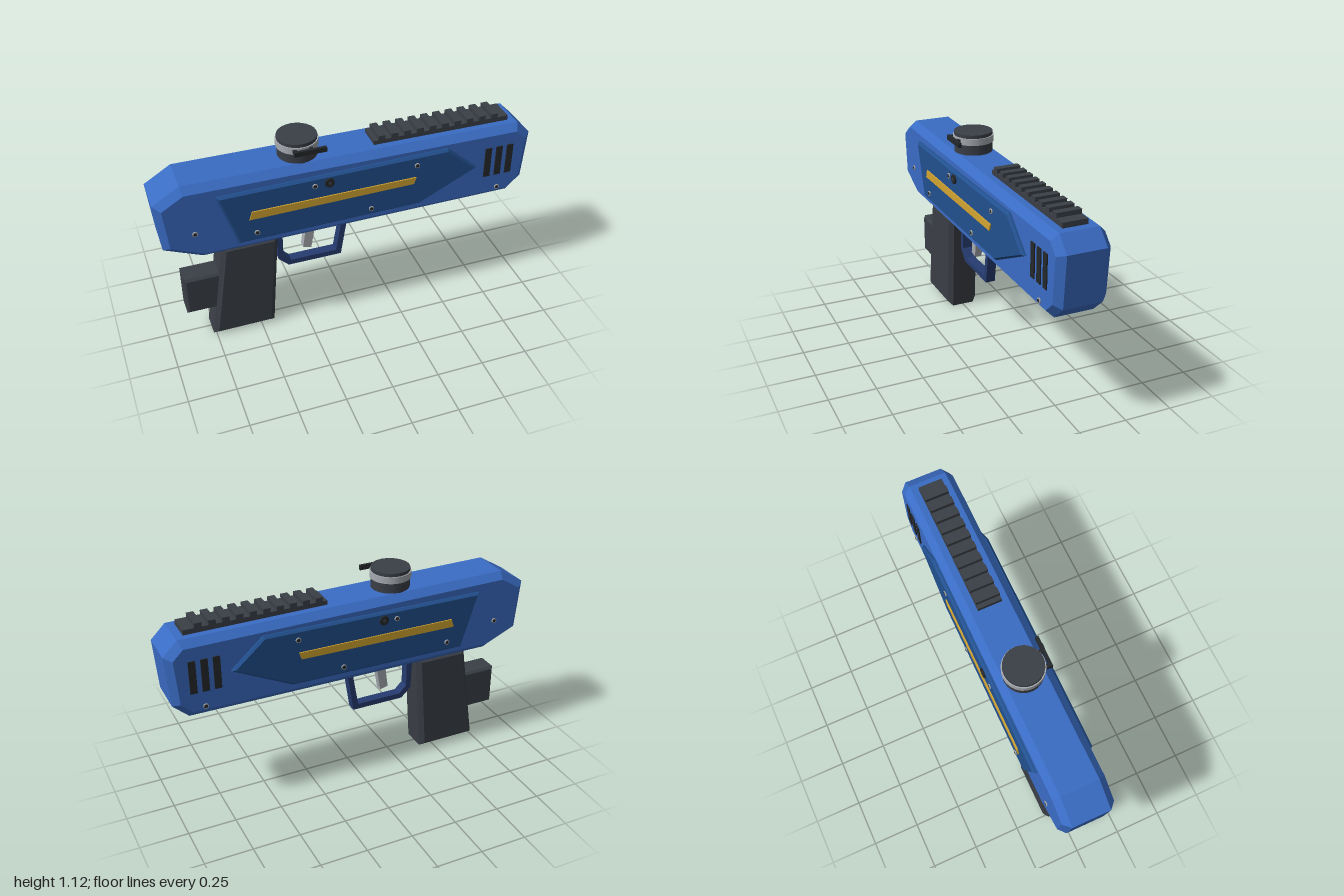
import * as THREE from 'three';

const paint = (name, color) => {
  const m = new THREE.MeshStandardMaterial({ color });
  m.name = name;
  return m;
};

export function createModel() {
  const blue = paint('body blue', 0x3a6cc4);
  const navy = paint('panel blue', 0x22508f);
  const guardBlue = paint('guard blue', 0x263c70);
  const gold = paint('gold', 0xd4a530);
  const charcoal = paint('charcoal', 0x3a3f46);
  const black = paint('black', 0x25282c);
  const grey = paint('grey metal', 0xa6aaaf);

  const model = new THREE.Group();
  model.name = 'toyBlaster';

  const add = (name, geometry, material, x = 0, y = 0, z = 0) => {
    const mesh = new THREE.Mesh(geometry, material);
    mesh.name = name;
    mesh.position.set(x, y, z);
    model.add(mesh);
    return mesh;
  };

  // Side outline extruded evenly about z = 0, with a chamfer kept inside the outline
  const slab = (points, half, chamfer = 0, hole = null) => {
    const shape = new THREE.Shape(points.map(p => new THREE.Vector2(...p)));
    if (hole) shape.holes.push(new THREE.Path(hole.map(p => new THREE.Vector2(...p))));
    const core = half - chamfer;
    const geometry = new THREE.ExtrudeGeometry(shape, {
      depth: core * 2, bevelEnabled: chamfer > 0, bevelSegments: 1,
      bevelSize: chamfer, bevelThickness: chamfer, bevelOffset: -chamfer,
    });
    return geometry.translate(0, 0, -core);
  };
  const box = (w, h, d) => new THREE.BoxGeometry(w, h, d);
  const disc = (r, depth, sides) => new THREE.CylinderGeometry(r, r, depth, sides).rotateX(Math.PI / 2);

  // Main body
  add('body', slab([
    [-1, 0.93], [-0.975, 0.66], [-0.78, 0.575], [0.90, 0.585],
    [0.98, 0.66], [1, 0.93], [0.925, 1.005], [-0.86, 1.015],
  ], 0.136, 0.036), blue);

  // Grip and the block behind it
  add('grip', slab([[-0.765, 0], [-0.425, 0], [-0.382, 0.575], [-0.68, 0.575]], 0.086, 0.024), charcoal);
  add('rearBlock', slab([[-0.89, 0.175], [-0.69, 0.175], [-0.69, 0.4], [-0.89, 0.4]], 0.064, 0.012), charcoal);

  // Trigger guard and trigger
  add('triggerGuard', slab(
    [[-0.38, 0.578], [-0.375, 0.38], [-0.32, 0.325], [-0.025, 0.325], [0.015, 0.578]], 0.026, 0,
    [[-0.347, 0.547], [-0.02, 0.547], [-0.053, 0.355], [-0.305, 0.355], [-0.347, 0.397]],
  ), guardBlue);
  add('trigger', slab([[-0.235, 0.42], [-0.19, 0.408], [-0.163, 0.56], [-0.215, 0.56]], 0.02), grey);

  // Details repeated on both flanks
  for (const side of [1, -1]) {
    add('sidePanel', slab([
      [-0.70, 0.94], [-0.605, 0.64], [0.37, 0.65], [0.685, 0.805], [0.515, 0.955],
    ], 0.02, 0.012), navy, 0, 0, side * 0.137);
    add('goldStripe', slab([
      [-0.545, 0.78], [0.325, 0.792], [0.338, 0.83], [-0.53, 0.825],
    ], 0.004), gold, 0, 0, side * 0.1595);

    for (let i = 0; i < 3; i++) {
      add('vent', box(0.036, 0.175, 0.009), black, 0.753 + i * 0.0615, 0.813, side * 0.137);
    }

    const bolts = [
      [-0.205, 0.9, 0.157], [0.34, 0.9, 0.157], [0.095, 0.69, 0.157],
      [-0.51, 0.693, 0.157], [-0.815, 0.745, 0.136], [0.823, 0.642, 0.136],
    ];
    for (const [x, y, z] of bolts) {
      add('bolt', disc(0.014, 0.012, 12), grey, x, y, side * z);
      add('boltSocket', disc(0.01, 0.014, 6), black, x, y, side * z);
    }
    add('sideKnob', disc(0.025, 0.018, 16), black, -0.13, 0.906, side * 0.158);
    add('sideKnobPin', disc(0.009, 0.004, 10), charcoal, -0.13, 0.906, side * 0.168);
  }

  // Ribbed top rail
  add('railBase', box(0.745, 0.04, 0.128), charcoal, 0.512, 1.012, 0);
  for (let i = 0; i < 10; i++) {
    add('railTooth', box(0.037, 0.026, 0.128), charcoal, 0.182 + i * 0.0695, 1.042, 0);
  }

  // Top dial with its metal band and clamp
  add('dial', new THREE.CylinderGeometry(0.102, 0.102, 0.12, 24), charcoal, -0.245, 1.06, 0);
  add('dialBand', new THREE.CylinderGeometry(0.108, 0.108, 0.036, 24), grey, -0.245, 1.084, 0);
  add('clampBar', box(0.165, 0.026, 0.016), black, -0.213, 1.084, 0.123);
  for (const x of [-0.285, -0.205]) add('clampLug', box(0.02, 0.02, 0.03), black, x, 1.084, 0.105);

  return model;
}
